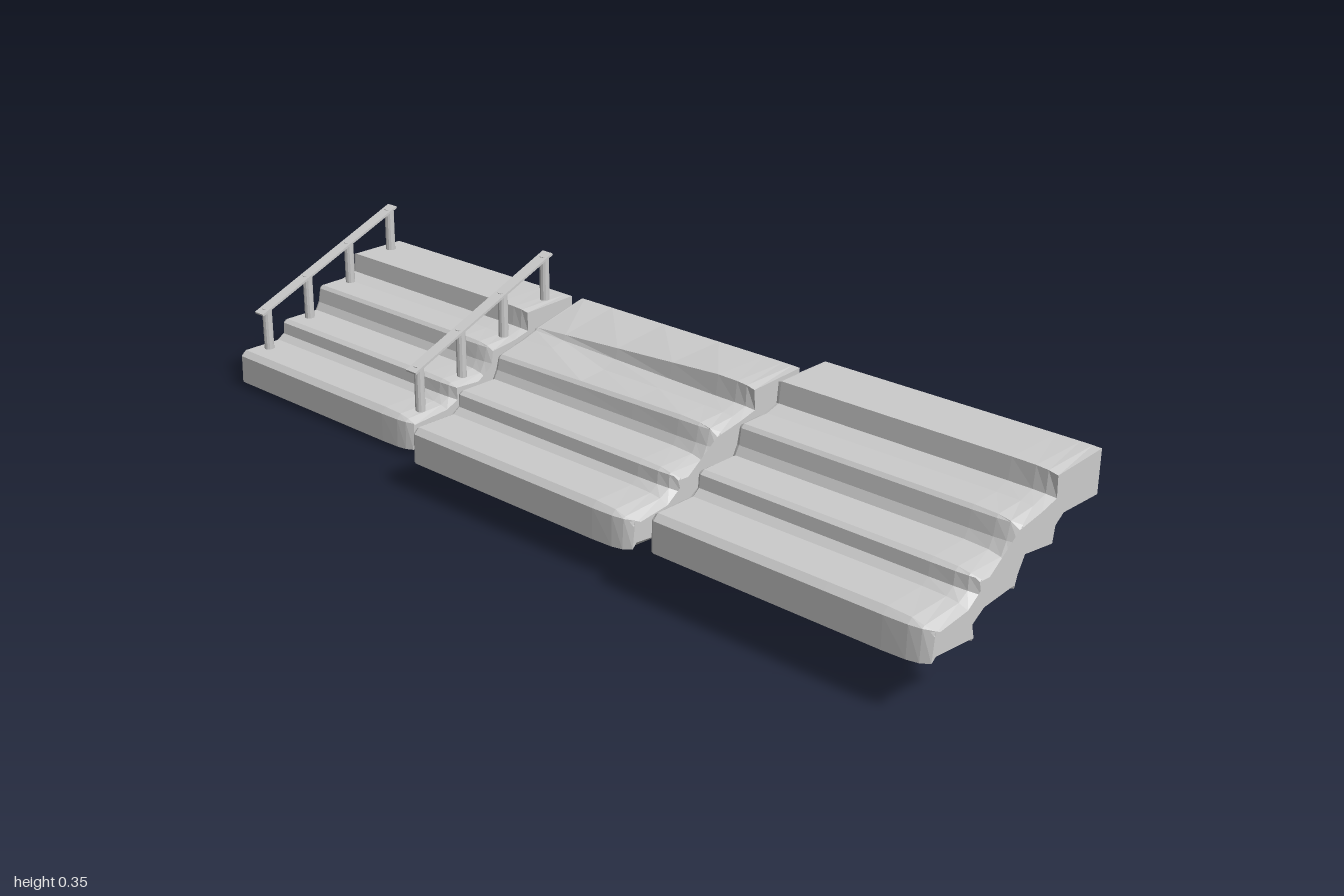
import * as THREE from 'three';

const material = new THREE.MeshStandardMaterial({ color: 0xcccccc, flatShading: true, side: THREE.DoubleSide });

// Side outline of one flight: up the treads, then back down the stepped underside
const OUTLINE = [
  [0, 0.075], [0.012, 0.087], [0.105, 0.088], [0.12, 0.1], [0.123, 0.125], [0.133, 0.132],
  [0.218, 0.133], [0.228, 0.15], [0.233, 0.182], [0.24, 0.189],
  [0.305, 0.19], [0.338, 0.2], [0.344, 0.242], [0.482, 0.242],
  [0.482, 0.155], [0.376, 0.152], [0.362, 0.137], [0.356, 0.107], [0.346, 0.102],
  [0.268, 0.1], [0.258, 0.085], [0.254, 0.058], [0.243, 0.052],
  [0.155, 0.05], [0.145, 0.035], [0.139, 0.007], [0.13, 0], [0.022, 0], [0, 0.012],
];
const DEPTH = 0.593;

// Outline moved inwards for worn ends; wear fades towards the straight upper end
function insetOutline(amount) {
  const n = OUTLINE.length;
  return OUTLINE.map(([x, y], i) => {
    const p = OUTLINE[(i + n - 1) % n], q = OUTLINE[(i + 1) % n];
    const dx = q[0] - p[0], dy = q[1] - p[1], len = Math.hypot(dx, dy);
    const a = amount * THREE.MathUtils.clamp((0.5 - x) / 0.3, 0.06, 1) * (0.8 + 0.25 * Math.sin(i * 2.4));
    return [x + (dy / len) * a, y - (dx / len) * a];
  });
}

// Each flight is a loft of the outline along z; 'slump' smooths the upper riser
function makeFlight(name, x0, y0, z0, frontWear, slump) {
  const sections = [[0, 0.006], [0.012, 0], [0.15, 0], [0.4, 0], [0.65, 0], [0.85, 0],
    [0.93, frontWear * 0.12], [0.97, frontWear * 0.4], [1, frontWear]];
  const n = OUTLINE.length, pos = [], index = [];
  let profile;
  sections.forEach(([t, inset]) => {
    profile = insetOutline(inset);
    const s = slump * Math.max(0, 1 - t / 0.85);
    profile.forEach(([x, y], i) => {
      let dy = 0;
      if (i === 12) dy = -0.03 * s;
      if (i === 11) dy = 0.008 * s;
      if (i === 10) dy = 0.006 * s * (1 + Math.sin(t * 14));
      if (i === 8 || i === 9) dy = -0.008 * s;
      pos.push(x0 + x, y0 + y + dy, z0 + t * DEPTH);
    });
  });
  for (let k = 0; k < sections.length - 1; k++) {
    for (let i = 0; i < n; i++) {
      const a = k * n + i, b = k * n + (i + 1) % n;
      index.push(a, a + n, b, b, a + n, b + n);
    }
  }
  // End faces
  const last = (sections.length - 1) * n;
  const contour = profile.map(([x, y]) => new THREE.Vector2(x, y)).reverse();
  THREE.ShapeUtils.triangulateShape(contour, []).forEach((f) => {
    const [a, b, c] = f.map((i) => n - 1 - i);
    index.push(last + a, last + b, last + c, a, c, b);
  });
  const geometry = new THREE.BufferGeometry();
  geometry.setAttribute('position', new THREE.Float32BufferAttribute(pos, 3));
  geometry.setIndex(index);
  const flat = geometry.toNonIndexed();
  flat.computeVertexNormals();
  const mesh = new THREE.Mesh(flat, material);
  mesh.name = name;
  return mesh;
}

// Sloping handrail with one post per tread
function makeRailing(name, z) {
  const group = new THREE.Group();
  group.name = name;
  const start = new THREE.Vector2(-0.14, 0.178), end = new THREE.Vector2(0.262, 0.349);
  const slope = (end.y - start.y) / (end.x - start.x);
  const treads = [[-0.118, 0.08], [0.001, 0.125], [0.125, 0.18], [0.251, 0.24]];
  treads.forEach(([x, y]) => {
    const top = start.y + (x - start.x) * slope;
    const post = new THREE.Mesh(new THREE.CylinderGeometry(0.011, 0.011, top - y, 12), material);
    post.position.set(x, (top + y) / 2, z);
    post.name = 'railPost';
    group.add(post);
  });
  const rail = new THREE.Mesh(new THREE.BoxGeometry(start.distanceTo(end), 0.005, 0.03), material);
  rail.position.set((start.x + end.x) / 2, (start.y + end.y) / 2, z);
  rail.rotation.z = Math.atan(slope);
  rail.name = 'handrail';
  group.add(rail);
  return group;
}

export function createModel() {
  const model = new THREE.Group();
  model.name = 'stairFlights';
  model.add(
    makeFlight('frontFlight', -0.31, 0.098, 0.407, 0.024, 0),
    makeFlight('middleFlight', -0.285, 0.058, -0.265, 0.026, 1),
    makeFlight('railedFlight', -0.175, 0.003, -1, 0.018, 0),
    makeRailing('frontRailing', -0.436),
    makeRailing('backRailing', -0.964),
  );
  return model;
}
